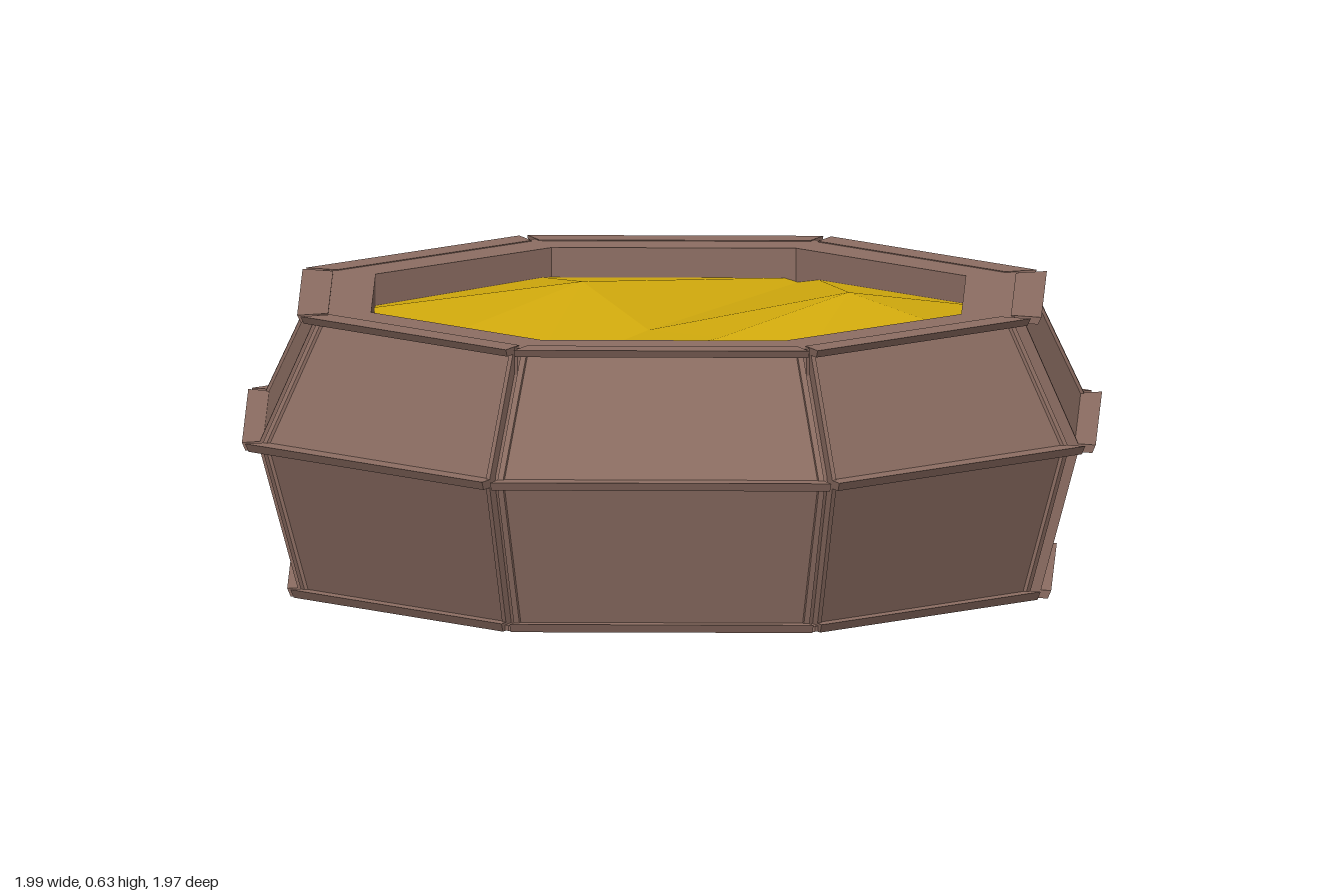
import * as THREE from 'three';
import { ConvexGeometry } from 'three/addons/geometries/ConvexGeometry.js';

const SIDES = 8;
const R_OPEN = 0.69;

// Point on one octagon side, 'inset' in from its start or end corner
function sidePoint(k, r, y, inset, fromEnd) {
  const corner = (i) => {
    const a = (i * Math.PI * 2) / SIDES;
    return new THREE.Vector3(Math.cos(a) * r, y, Math.sin(a) * r);
  };
  const a = corner(fromEnd ? k + 1 : k);
  const b = corner(fromEnd ? k : k + 1);
  return a.add(b.sub(a).setLength(inset)).setY(y);
}

// Straight bar along a side from a convex [radius, height] profile
function bar(k, profile, inset) {
  const pts = [];
  for (const [r, y] of profile)
    pts.push(sidePoint(k, r, y, inset, false), sidePoint(k, r, y, inset, true));
  return new ConvexGeometry(pts);
}

// Narrow upright next to one end of a side
function stile(k, profile, from, to, fromEnd) {
  const pts = [];
  for (const [r, y] of profile)
    pts.push(sidePoint(k, r, y, from, fromEnd), sidePoint(k, r, y, to, fromEnd));
  return new ConvexGeometry(pts);
}

// Sloped slab profile between two radius/height pairs
const slope = (r0, y0, r1, y1, depth, drop = 0) => [
  [r0 - drop, y0], [r1 - drop, y1], [r1 - depth, y1], [r0 - depth, y0],
];
const ledge = (rIn, rOut, y0, y1) => [[rIn, y0], [rOut - 0.008, y0], [rOut, y1], [rIn, y1]];

export function createModel() {
  const model = new THREE.Group();
  const brown = new THREE.MeshStandardMaterial({ color: 0x8d6e63, flatShading: true });
  const gold = new THREE.MeshStandardMaterial({ color: 0xd4ac0d, flatShading: true, side: THREE.DoubleSide });

  const add = (parent, name, geometry, material = brown) => {
    const mesh = new THREE.Mesh(geometry, material);
    mesh.name = name;
    parent.add(mesh);
    return mesh;
  };

  const bowl = new THREE.Group();
  bowl.name = 'bowl';
  bowl.position.set(-0.007, 0, -0.004);
  model.add(bowl);

  // Core behind the seams, and the floor
  add(bowl, 'lowerCore', new THREE.CylinderGeometry(0.92, 0.83, 0.33, SIDES, 1, true)).position.y = 0.17;
  add(bowl, 'upperCore', new THREE.CylinderGeometry(0.79, 0.92, 0.27, SIDES, 1, true)).position.y = 0.47;
  add(bowl, 'floor', new THREE.CylinderGeometry(0.865, 0.865, 0.012, SIDES)).position.y = 0.007;

  // Eight framed sides
  const walls = [
    ['lowerWall', 0.86, 0.015, 0.95, 0.33],
    ['upperWall', 0.95, 0.34, 0.82, 0.605],
  ];
  const ledges = [
    ['bottomLedge', 0.80, 0.885, 0, 0.018],
    ['middleLedge', 0.88, 0.99, 0.325, 0.343],
    ['topLedge', 0.79, 0.862, 0.598, 0.614],
  ];
  for (let k = 0; k < SIDES; k++) {
    const side = new THREE.Group();
    side.name = 'side' + (k + 1);
    // One side sits slightly proud of the rest
    if (k === 7) side.position.set(0.014, 0, -0.006);
    bowl.add(side);
    for (const [name, r0, y0, r1, y1] of walls) {
      add(side, name, bar(k, slope(r0, y0, r1, y1, 0.03, 0.008), 0.012));
      for (const end of [false, true])
        add(side, name + 'Stile', stile(k, slope(r0, y0, r1, y1, 0.03), 0.01, 0.022, end));
    }
    for (const [name, rIn, rOut, y0, y1] of ledges)
      add(side, name, bar(k, ledge(rIn, rOut, y0, y1), 0.01));
  }

  // Octagonal rim slab with its opening
  const octagon = (r, Type) => {
    const pts = [];
    for (let i = 0; i < SIDES; i++) {
      const a = (i * Math.PI * 2) / SIDES;
      pts.push(new THREE.Vector2(Math.cos(a) * r, Math.sin(a) * r));
    }
    return new Type(pts);
  };
  const rimShape = octagon(0.815, THREE.Shape);
  rimShape.holes.push(octagon(R_OPEN, THREE.Path));
  const rim = new THREE.ExtrudeGeometry(rimShape, { depth: 0.1, bevelEnabled: false });
  rim.rotateX(-Math.PI / 2);
  add(bowl, 'rim', rim).position.y = 0.512;

  // Faceted contents: an outer ring of points tucked under the rim, plus peaks and a valley
  const points = [-3, 47, 90, 120, 172, 225, 270, 315].map((deg) => {
    const a = THREE.MathUtils.degToRad(deg);
    return [Math.cos(a) * 0.78, 0.535, Math.sin(a) * 0.78];
  });
  points.push([-0.19, 0.632, 0.03], [0.39, 0.629, -0.08], [0.04, 0.565, 0.2], [0.3, 0.595, 0.41]);
  const [A, B, C, D] = [8, 9, 10, 11];
  const faces = [
    [B, 6, 7], [B, 7, 0], [B, 0, 1], [B, 1, D], [B, D, C], [B, C, 6], [A, 6, C],
    [A, 5, 6], [A, 4, 5], [A, 3, 4], [A, 2, 3], [A, C, 2], [C, D, 2], [D, 1, 2],
  ];
  const positions = [];
  // Reverse each face so it looks upward
  for (const [a, b, c] of faces) positions.push(...points[a], ...points[c], ...points[b]);
  const filling = new THREE.BufferGeometry();
  filling.setAttribute('position', new THREE.Float32BufferAttribute(positions, 3));
  filling.computeVertexNormals();
  add(bowl, 'filling', filling, gold);

  return model;
}
